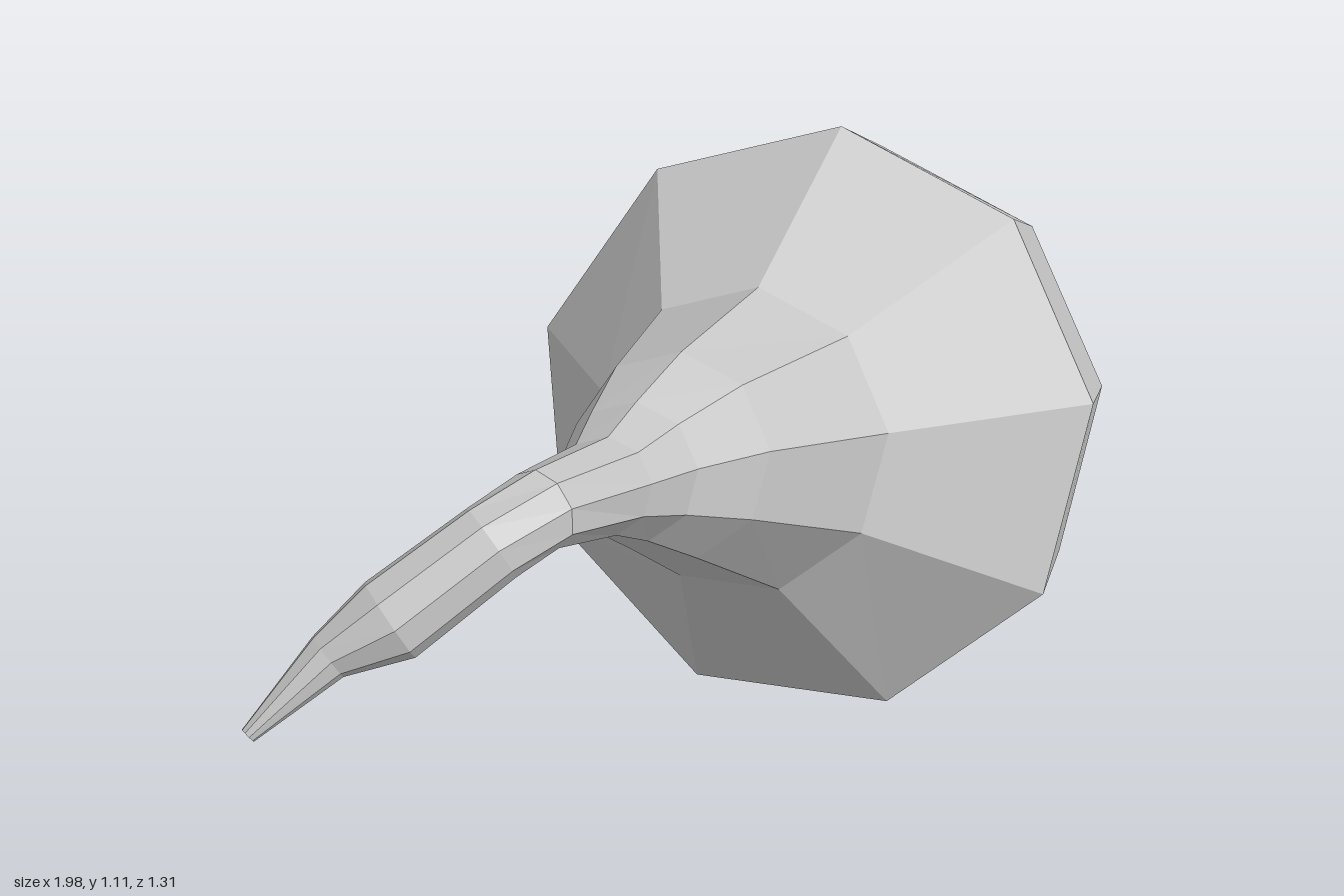
import * as THREE from 'three';

const SIDES = 9;
const v = (x, y, z) => new THREE.Vector3(x, y, z);

// Ring centres and radii from the curved stem tip to the widest part of the bulb
const SPINE = [
  [-0.992, 0.722, 0.487, 0.014],
  [-0.85, 0.835, 0.505, 0.042],
  [-0.75, 0.888, 0.535, 0.075],
  [-0.58, 1.0, 0.575, 0.07],
  [-0.49, 1.04, 0.587, 0.07],
  [-0.245, 0.893, 0.388, 0.082],
  [-0.125, 0.822, 0.28, 0.116],
  [0.015, 0.755, 0.185, 0.171],
  [0.27, 0.6, 0.0, 0.25],
  [0.53, 0.455, -0.19, 0.477],
];
const BULB_AXIS = v(0.73, -0.39, -0.56).normalize();
const DOME_DEPTH = 0.465;

// Rings: stem, then a dome that closes the bulb in 30 degree steps
function makeRings() {
  const list = SPINE.map(([x, y, z, r]) => ({ c: v(x, y, z), r }));
  const last = list[list.length - 1];
  for (let i = 1; i <= 3; i++) {
    const a = (i * Math.PI) / 6;
    list.push({
      c: last.c.clone().addScaledVector(BULB_AXIS, DOME_DEPTH * Math.sin(a)),
      r: i === 3 ? 0 : last.r * Math.cos(a),
    });
  }
  list.unshift({ c: list[0].c.clone(), r: 0 }); // closes the tip

  // Each ring lies in the plane halfway between its neighbouring directions
  const dir = (a, b) => b.c.clone().sub(a.c).normalize();
  let u = v(0.14, 0.44, -0.14);
  const points = [];
  for (let i = list.length - 1; i >= 0; i--) {
    const n = v(0, 0, 0);
    if (i > 0) n.add(dir(list[i - 1], list[i]));
    if (i < list.length - 1) n.add(dir(list[i], list[i + 1]));
    n.normalize();
    u = u.clone().addScaledVector(n, -u.dot(n)).normalize();
    const w = n.clone().cross(u);
    points[i] = Array.from({ length: SIDES }, (_, k) => {
      const a = (k / SIDES) * Math.PI * 2;
      return list[i].c.clone()
        .addScaledVector(u, list[i].r * Math.cos(a))
        .addScaledVector(w, list[i].r * Math.sin(a));
    });
  }
  return points;
}

// Skin over a run of rings
function loft(rings) {
  const pos = [];
  const tri = (a, b, c) => {
    if (a.distanceTo(b) < 1e-6 || b.distanceTo(c) < 1e-6 || c.distanceTo(a) < 1e-6) return;
    for (const p of [a, b, c]) pos.push(p.x, p.y, p.z);
  };
  for (let i = 0; i < rings.length - 1; i++) {
    for (let k = 0; k < SIDES; k++) {
      const m = (k + 1) % SIDES;
      tri(rings[i][k], rings[i][m], rings[i + 1][m]);
      tri(rings[i][k], rings[i + 1][m], rings[i + 1][k]);
    }
  }
  const geo = new THREE.BufferGeometry();
  geo.setAttribute('position', new THREE.Float32BufferAttribute(pos, 3));
  geo.computeVertexNormals();
  return geo;
}

export function createModel() {
  const group = new THREE.Group();
  group.name = 'gourd';
  const material = new THREE.MeshStandardMaterial({ color: 0xcccccc, flatShading: true });
  const rings = makeRings();
  const parts = [['stem', 0, 5], ['neck', 5, 9], ['bulb', 9, rings.length - 1]];
  for (const [name, from, to] of parts) {
    const mesh = new THREE.Mesh(loft(rings.slice(from, to + 1)), material);
    mesh.name = name;
    group.add(mesh);
  }
  // Rest the bulb on the ground
  const low = new THREE.Box3().setFromObject(group).min.y;
  for (const mesh of group.children) mesh.geometry.translate(0, -low, 0);
  return group;
}
